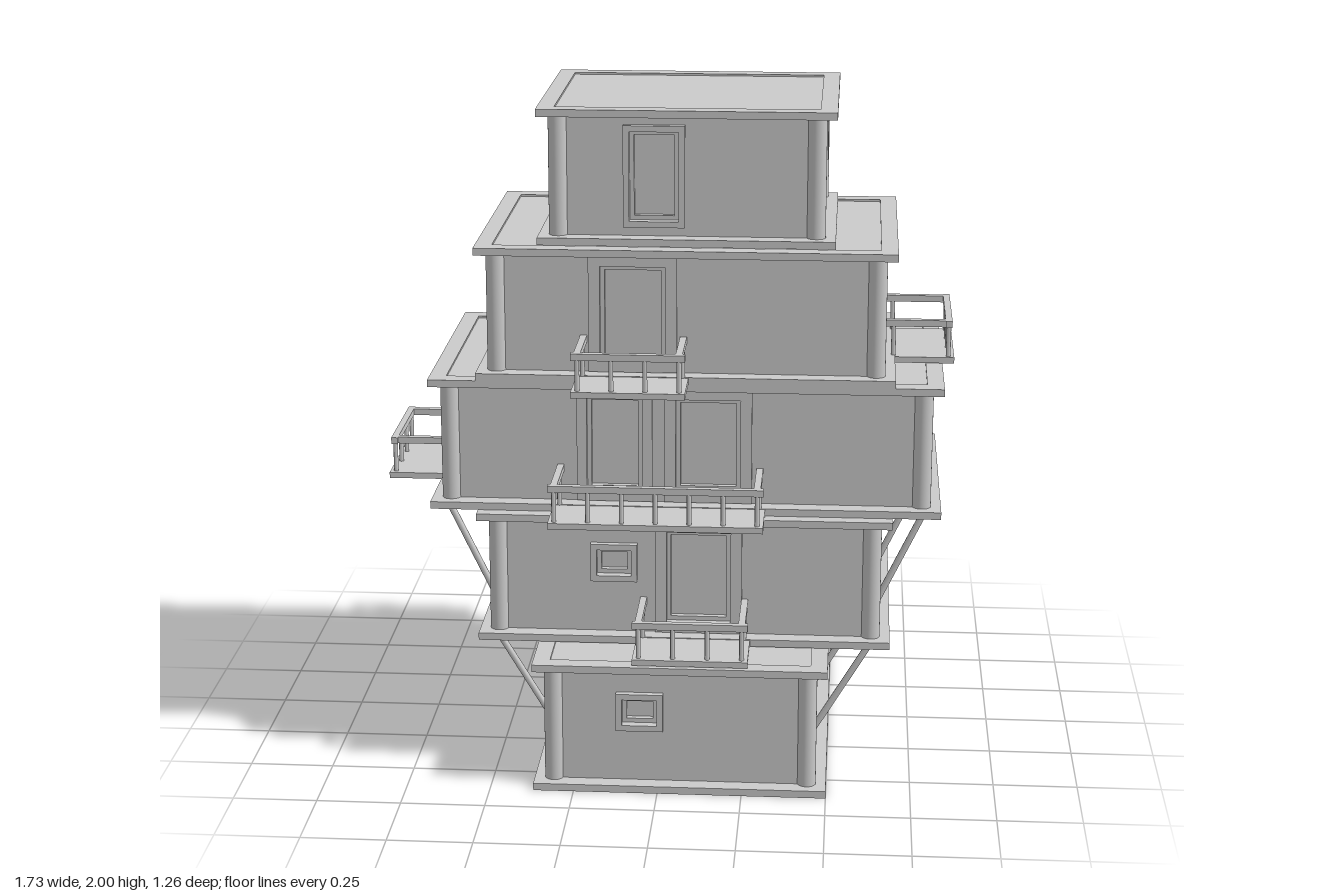
import * as THREE from 'three';

const mat = new THREE.MeshStandardMaterial({ color: 0xcccccc });
const CX = 0.065, H = 0.4, SLAB = 0.022, RIM = 0.05, WALL = 0.035;

function add(parent, name, geo, x = 0, y = 0, z = 0) {
  const m = new THREE.Mesh(geo, mat);
  m.name = name;
  m.position.set(x, y, z);
  parent.add(m);
  return m;
}
const box = (parent, name, w, h, d, x, y, z) =>
  add(parent, name, new THREE.BoxGeometry(w, h, d), x, y, z);

// Closed rectangle outline, corner to corner
function rect(Type, x0, y0, x1, y1) {
  const p = new Type();
  p.moveTo(x0, y0);
  p.lineTo(x1, y0);
  p.lineTo(x1, y1);
  p.lineTo(x0, y1);
  p.closePath();
  return p;
}

// Rectangular plate with rectangular holes, extruded towards +z
function plate(outer, holes, depth) {
  const s = rect(THREE.Shape, ...outer);
  holes.forEach(h => s.holes.push(rect(THREE.Path, ...h)));
  return new THREE.ExtrudeGeometry(s, { depth, bevelEnabled: false });
}

function rod(parent, name, a, b, r) {
  const d = new THREE.Vector3().subVectors(b, a);
  const m = add(parent, name, new THREE.CylinderGeometry(r, r, d.length(), 10));
  m.position.copy(a).add(b).multiplyScalar(0.5);
  m.quaternion.setFromUnitVectors(new THREE.Vector3(0, 1, 0), d.normalize());
}

// Slab with a raised rim around a sunken panel
function slab(parent, name, hx, hz, y) {
  const ix = hx - RIM, iz = hz - RIM;
  add(parent, name + 'Rim', plate([-hx, -hz, hx, hz], [[-ix, -iz, ix, iz]], SLAB), 0, y + SLAB, 0).rotation.x = Math.PI / 2;
  box(parent, name + 'Panel', 2 * ix, SLAB - 0.012, 2 * iz, 0, y + SLAB / 2, 0);
}

// Opening kinds: outer width, bottom, top, frame width, frame projection
const KINDS = {
  door: { w: 0.26, y0: 0.024, y1: 0.376, f: 0.034, out: 0.012 },
  narrowDoor: { w: 0.225, y0: 0.024, y1: 0.376, f: 0.03, out: 0.012 },
  panelDoor: { w: 0.18, y0: 0.05, y1: 0.35, f: 0.018, out: 0.02 },
  window: { w: 0.14, y0: 0.185, y1: 0.302, f: 0.018, out: 0.02 },
};

// Wall with framed, recessed openings; outer face at local z
function wall(side, halfWidth, z, openings) {
  const holes = [];
  for (const [kind, u] of openings) {
    const { w, y0, y1, f, out } = KINDS[kind];
    const o = [u - w / 2, y0, u + w / 2, y1];
    const inset = d => [o[0] + d, o[1] + d, o[2] - d, o[3] - d];
    holes.push(inset(f));
    add(side, kind + 'Frame', plate(o, [inset(f)], out + 0.005), 0, 0, z - 0.005);
    add(side, kind + 'InnerFrame', plate(inset(f), [inset(f + 0.013)], 0.018), 0, 0, z - 0.025);
    box(side, kind + 'Panel', w - 2 * f, y1 - y0 - 2 * f, 0.01, u, (y0 + y1) / 2, z - WALL + 0.005);
  }
  add(side, 'wall', plate([-halfWidth, 0.01, halfWidth, H - 0.01], holes, WALL), 0, 0, z - WALL);
}

// Balcony from the wall out to local z1, railed on three sides
function balcony(side, u, w, z0, z1) {
  const g = new THREE.Group();
  g.name = 'balcony';
  side.add(g);
  const e = w / 2 - 0.018, zo = z1 - 0.018, top = 0.122, r = 0.02;
  box(g, 'balconyFloor', w, 0.018, z1 - z0, u, 0.011, (z0 + z1) / 2);
  box(g, 'frontRail', w, r, r, u, top, zo);
  const n = Math.round(w / 0.11);
  for (let i = 0; i <= n; i++)
    add(g, 'railPost', new THREE.CylinderGeometry(0.007, 0.007, top, 8), u - e + 2 * e * i / n, top / 2, zo);
  for (const s of [-1, 1]) {
    box(g, 'sideRail', r, r, zo - z0, u + s * e, top, (z0 + zo) / 2);
    add(g, 'railPost', new THREE.CylinderGeometry(0.007, 0.007, top, 8), u + s * e, top / 2, z0 + 0.045);
  }
}

// Storeys from the ground up: half sizes, openings as [kind, offset along the wall],
// balconies as [offset, width, outer reach]
const STOREYS = [
  { hx: 0.435, hz: 0.632,
    front: [['window', -0.12]], right: [['door', 0.16]],
    back: [['window', -0.11]], left: [['door', -0.13]] },
  { hx: 0.617, hz: 0.44,
    front: [['window', -0.21], ['door', 0.043]], right: [['window', 0.17]],
    back: [['window', -0.205], ['door', 0.025]], left: [['panelDoor', -0.105]],
    balconies: { front: [0.03, 0.34, 0.62], back: [0.022, 0.345, 0.62] } },
  { hx: 0.76, hz: 0.4,
    front: [['narrowDoor', -0.21], ['door', 0.068]], right: [['panelDoor', 0.083]],
    back: [['panelDoor', -0.23], ['window', -0.03], ['window', 0.17]], left: [['door', -0.05]],
    balconies: { front: [-0.075, 0.63, 0.57], left: [-0.05, 0.34, 0.93] } },
  { hx: 0.617, hz: 0.4,
    front: [['door', -0.155]], right: [['door', 0.043]],
    back: [['window', -0.205], ['door', 0.025]], left: [['window', -0.095]],
    balconies: { front: [-0.153, 0.33, 0.57], right: [0.05, 0.34, 0.795], back: [0.022, 0.33, 0.57] } },
  { hx: 0.435, hz: 0.348,
    front: [['panelDoor', -0.095]], right: [['window', 0.12]],
    back: [['window', -0.1], ['window', 0.08]], left: [['panelDoor', -0.07]] },
];
const TURN = { front: 0, right: Math.PI / 2, back: Math.PI, left: -Math.PI / 2 };

export function createModel() {
  const model = new THREE.Group();
  model.name = 'tower';
  STOREYS.forEach((s, i) => {
    const floor = new THREE.Group();
    floor.name = 'storey' + (i + 1);
    floor.position.set(CX, i * H, 0);
    model.add(floor);
    slab(floor, 'floorSlab', s.hx, s.hz, 0);
    slab(floor, 'roofSlab', s.hx, s.hz, H - SLAB);

    // Round corner columns
    for (const sx of [-1, 1]) for (const sz of [-1, 1])
      add(floor, 'cornerColumn', new THREE.CylinderGeometry(0.028, 0.028, H - 0.02, 24),
        sx * (s.hx - 0.058), H / 2, sz * (s.hz - 0.058));

    // Four walls, each built facing +z and turned into place
    for (const key of Object.keys(TURN)) {
      const side = new THREE.Group();
      side.name = key + 'Side';
      side.rotation.y = TURN[key];
      floor.add(side);
      const across = key === 'front' || key === 'back';
      const half = across ? s.hx : s.hz, face = (across ? s.hz : s.hx) - 0.05;
      wall(side, half - 0.058, face, s[key]);
      const b = s.balconies && s.balconies[key];
      if (b) balcony(side, b[0], b[1], face, b[2]);
    }
  });

  // Slanted struts under the two overhangs: [upper x, lower x, lower y, upper y, z spread]
  for (const [xt, xb, yb, yt, dz] of [[0.56, 0.385, 0.11, 0.405, 0.395], [0.71, 0.565, 0.5, 0.805, 0.35]])
    for (const sx of [-1, 1]) for (const k of [-1, 0, 1])
      rod(model, 'strut', new THREE.Vector3(CX + sx * xb, yb, k * dz), new THREE.Vector3(CX + sx * xt, yt, k * dz), 0.01);
  return model;
}
